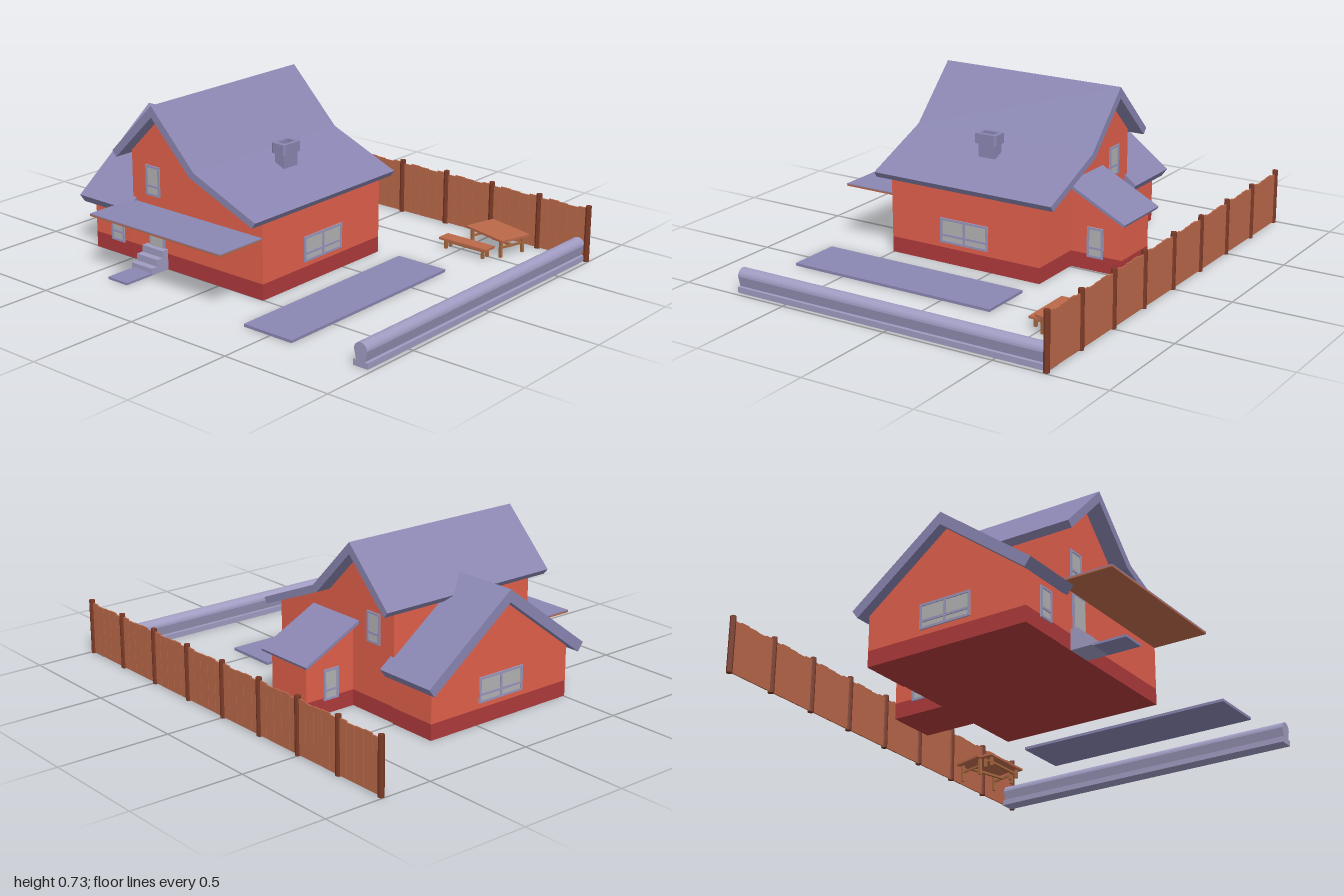
import * as THREE from 'three';

const mat = (color) => new THREE.MeshStandardMaterial({ color, flatShading: true });
const M = {
  roof: mat(0x8a86b2), wall: mat(0xe2604c), plinth: mat(0xb03a3c), frame: mat(0x9a96bc),
  glass: mat(0xb4b4b4), wood: mat(0xbc694a), post: mat(0x7c3a26), dark: mat(0x45435a),
  furniture: mat(0xa8683f), hedge: mat(0xa09cc2),
};

export function createModel() {
  const root = new THREE.Group();

  const add = (parent, name, geo, m) => {
    const mesh = new THREE.Mesh(geo, m);
    mesh.name = name;
    parent.add(mesh);
    return mesh;
  };
  const group = (name, parent = root) => {
    const g = new THREE.Group();
    g.name = name;
    parent.add(g);
    return g;
  };
  // box from its two extreme corners
  const box = (parent, name, [x0, x1], [y0, y1], [z0, z1], m) => {
    const mesh = add(parent, name, new THREE.BoxGeometry(x1 - x0, y1 - y0, z1 - z0), m);
    mesh.position.set((x0 + x1) / 2, (y0 + y1) / 2, (z0 + z1) / 2);
    return mesh;
  };
  const shapeOf = (pts) => new THREE.Shape(pts.map(([a, b]) => new THREE.Vector2(a, b)));
  // (x, y) profile swept along z
  const sweepZ = (pts, z0, z1) =>
    new THREE.ExtrudeGeometry(shapeOf(pts), { depth: z1 - z0, bevelEnabled: false }).translate(0, 0, z0);
  // (z, y) profile swept along x
  const sweepX = (pts, x0, x1) =>
    new THREE.ExtrudeGeometry(shapeOf(pts), { depth: x1 - x0, bevelEnabled: false })
      .rotateY(-Math.PI / 2).translate(x1, 0, 0);

  const house = group('house');
  const P = 0.07; // plinth height

  // main block with broken-pitch gable
  add(house, 'mainWalls', sweepX([[0.245, P], [0.245, 0.336], [-0.085, 0.47], [-0.295, 0.682],
    [-0.49, 0.489], [-0.49, P]], -0.503, 0.24), M.wall);
  box(house, 'mainPlinth', [-0.503, 0.24], [0, P], [-0.49, 0.245], M.plinth);
  add(house, 'mainRoof', sweepX([[0.272, 0.355], [-0.06, 0.492], [-0.295, 0.73], [-0.53, 0.494],
    [-0.508, 0.469], [-0.295, 0.68], [-0.085, 0.468], [0.255, 0.33]], -0.577, 0.31), M.roof);

  // rear wing with cross gable
  add(house, 'wingWalls', sweepZ([[-0.505, P], [0.245, P], [0.245, 0.223], [-0.13, 0.507],
    [-0.505, 0.223]], -0.72, -0.488), M.wall);
  box(house, 'wingPlinth', [-0.505, 0.245], [0, P], [-0.72, -0.488], M.plinth);
  add(house, 'wingRoof', sweepZ([[-0.557, 0.24], [-0.53, 0.204], [-0.13, 0.505], [0.27, 0.204],
    [0.297, 0.24], [-0.13, 0.56]], -0.765, -0.47), M.roof);

  // side extension with lean-to roof
  add(house, 'extensionWalls', sweepZ([[0.238, P], [0.485, P], [0.485, 0.243], [0.238, 0.368]],
    -0.235, -0.01), M.wall);
  box(house, 'extensionPlinth', [0.238, 0.485], [0, P], [-0.235, -0.01], M.plinth);
  add(house, 'extensionRoof', sweepZ([[0.238, 0.366], [0.51, 0.23], [0.515, 0.241], [0.238, 0.381]],
    -0.272, 0.023), M.roof);

  // flat canopy on the far side
  box(house, 'canopyBoards', [-0.748, -0.5], [0.256, 0.263], [-0.495, 0.243], M.wood);
  box(house, 'canopyCover', [-0.748, -0.5], [0.263, 0.267], [-0.495, 0.243], M.roof);

  // chimney with hollow cap
  const chimney = group('chimney', house);
  chimney.position.set(-0.132, 0, 0.045);
  box(chimney, 'chimneyStack', [-0.042, 0.042], [0.41, 0.505], [-0.025, 0.025], M.roof);
  const c = 0.008, w = 0.053, d = 0.038;
  const cap = shapeOf([[-w + c, -d], [w - c, -d], [w, -d + c], [w, d - c], [w - c, d],
    [-w + c, d], [-w, d - c], [-w, -d + c]]);
  cap.holes.push(new THREE.Path([[-0.032, -0.02], [-0.032, 0.02], [0.032, 0.02], [0.032, -0.02]]
    .map(([a, b]) => new THREE.Vector2(a, b))));
  add(chimney, 'chimneyCap', new THREE.ExtrudeGeometry(cap, { depth: 0.045, bevelEnabled: false })
    .rotateX(-Math.PI / 2).translate(0, 0.5, 0), M.roof);
  box(chimney, 'flue', [-0.033, 0.033], [0.5, 0.515], [-0.021, 0.021], M.dark);

  // windows: frame bars, a low transom and optional centre mullion, facing local +z
  const addWindow = (name, x, y, z, turn, width, height, mullion) => {
    const g = group(name, house);
    g.position.set(x, y, z);
    g.rotation.y = turn;
    const a = width / 2, b = height / 2, t = 0.01, deep = [-0.004, 0.006];
    box(g, 'glass', [-a, a], [-b, b], [-0.004, 0.002], M.glass);
    for (const s of [-1, 1]) {
      const u = s * (a - t / 2), v = s * (b - t / 2);
      box(g, 'frameSide', [u - t / 2, u + t / 2], [-b, b], deep, M.frame);
      box(g, 'frameRail', [-a, a], [v - t / 2, v + t / 2], deep, M.frame);
    }
    const tr = -0.18 * height;
    box(g, 'transom', [-a, a], [tr - t / 2, tr + t / 2], deep, M.frame);
    if (mullion) box(g, 'mullion', [-t / 2, t / 2], [-b, b], deep, M.frame);
  };
  const H = Math.PI / 2;
  addWindow('frontWindow', -0.132, 0.148, 0.245, 0, 0.24, 0.11, true);
  addWindow('backWindow', -0.13, 0.148, -0.72, Math.PI, 0.24, 0.11, true);
  addWindow('extensionFrontWindow', 0.358, 0.126, -0.01, 0, 0.077, 0.134, false);
  addWindow('extensionBackWindow', 0.358, 0.126, -0.235, Math.PI, 0.077, 0.134, false);
  addWindow('gableWindowRight', 0.24, 0.375, -0.367, H, 0.08, 0.132, false);
  addWindow('gableWindowLeft', -0.503, 0.375, -0.367, -H, 0.08, 0.132, false);
  addWindow('wingSideWindow', -0.505, 0.126, -0.585, -H, 0.077, 0.134, false);

  // side door, steps and path
  box(house, 'doorFrame', [-0.509, -0.5], [0.085, 0.25], [-0.395, -0.305], M.frame);
  box(house, 'door', [-0.512, -0.5], [0.087, 0.24], [-0.385, -0.315], M.glass);
  for (let i = 0; i < 3; i++) {
    box(house, 'step', [-0.6 + i * 0.032, -0.5], [i * 0.03, (i + 1) * 0.03], [-0.41, -0.29], M.hedge);
  }
  box(root, 'sidePath', [-0.745, -0.6], [0, 0.01], [-0.4, -0.29], M.roof);
  box(root, 'patio', [-0.748, 0.233], [0, 0.012], [0.365, 0.61], M.roof);

  // low round-topped garden wall on a footing
  const gardenWall = group('gardenWall');
  box(gardenWall, 'footing', [-0.748, 0.73], [0, 0.025], [0.91, 0.98], M.hedge);
  const arc = [];
  for (let i = 0; i <= 10; i++) {
    const t = (i / 10) * Math.PI;
    arc.push([0.945 + 0.031 * Math.cos(t), 0.069 + 0.031 * Math.sin(t)]);
  }
  add(gardenWall, 'roundedWall', sweepX([[0.965, 0.025], ...arc, [0.925, 0.025]], -0.748, 0.73), M.hedge);

  // fence: nine posts with five uneven boards per bay
  const fence = group('fence');
  const pitch = 1.974 / 8;
  for (let i = 0; i <= 8; i++) {
    const z = -0.987 + i * pitch;
    add(fence, 'fencePost', new THREE.CylinderGeometry(0.013, 0.013, 0.248, 8), M.post)
      .position.set(0.729, 0.124, z);
    for (let k = 0; k < 5 && i < 8; k++) {
      const z0 = z + (k * pitch) / 5;
      const top = 0.231 + 0.003 * ((i * 3 + k * 2) % 3);
      box(fence, 'fenceBoard', [0.726, 0.732], [0.004, top], [z0, z0 + pitch / 5 - 0.002], M.wood);
    }
  }

  // garden table and bench share one builder
  const addStand = (name, x, z, turn, width, length, height) => {
    const g = group(name);
    g.position.set(x, 0, z);
    g.rotation.y = turn;
    const a = width / 2, b = length / 2, t = 0.006;
    box(g, 'top', [-a, a], [height - 0.01, height], [-b, b], M.wood);
    for (const sz of [-1, 1]) {
      const v = sz * b * 0.78;
      for (const sx of [-1, 1]) {
        const u = sx * (a - 0.016);
        box(g, 'leg', [u - t, u + t], [0, height - 0.01], [v - t, v + t], M.furniture);
      }
      box(g, 'crossRail', [-a + 0.01, a - 0.01], [height * 0.45, height * 0.45 + 0.01],
        [v - t / 2, v + t / 2], M.furniture);
    }
    box(g, 'stretcher', [-t, t], [height * 0.45, height * 0.45 + 0.01], [-b * 0.78, b * 0.78], M.furniture);
  };
  addStand('table', 0.61, 0.611, -0.255, 0.154, 0.24, 0.085);
  addStand('bench', 0.482, 0.54, 0, 0.065, 0.248, 0.05);

  return root;
}
